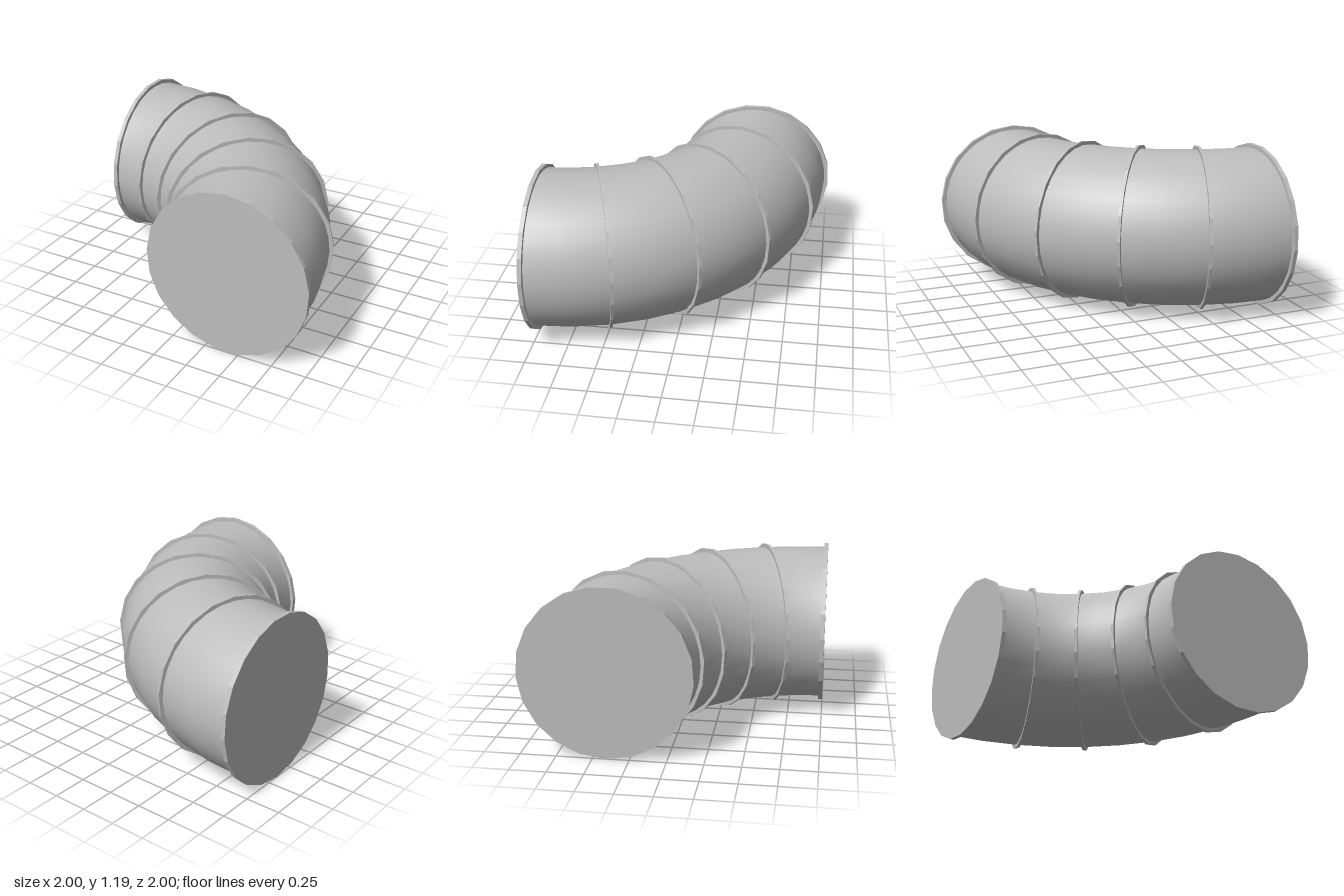
import * as THREE from 'three';

const BEND = 1.41;      // centreline radius of the elbow
const AXIS_Y = 0.594;   // height of the duct axis
const COLLAR = 0.594;   // radius of flanges and seam rings

export function createModel() {
  const model = new THREE.Group();
  model.name = 'ductElbow';
  const metal = new THREE.MeshStandardMaterial({ color: 0xbdbdbd });
  metal.name = 'galvanisedGrey';

  // quarter bend, smooth around and along
  const bendGeo = new THREE.TorusGeometry(BEND, 0.565, 32, 10, Math.PI / 2);
  bendGeo.rotateX(-Math.PI / 2);
  const bend = new THREE.Mesh(bendGeo, metal);
  bend.name = 'bend';
  bend.position.set(-1, AXIS_Y, 1);
  model.add(bend);

  // faceted disc set across the duct at an angle along the bend
  function addCollar(name, degrees, thickness, shift, flip) {
    const indexed = new THREE.CylinderGeometry(COLLAR, COLLAR, thickness, 21);
    indexed.rotateX(flip ? Math.PI / 2 : -Math.PI / 2);
    indexed.translate(BEND, 0, shift);
    const geo = indexed.toNonIndexed();
    geo.computeVertexNormals();
    const collar = new THREE.Mesh(geo, metal);
    collar.name = name;
    collar.position.set(-1, AXIS_Y, 1);
    collar.rotation.y = THREE.MathUtils.degToRad(degrees);
    model.add(collar);
  }

  // closed end flanges
  addCollar('frontFlange', 0, 0.03, -0.015, false);
  addCollar('sideFlange', 90, 0.03, 0.015, true);

  // seam rings between the bend sections
  for (let i = 1; i <= 4; i++) addCollar('seamRing' + i, i * 18, 0.02, 0, false);

  return model;
}
